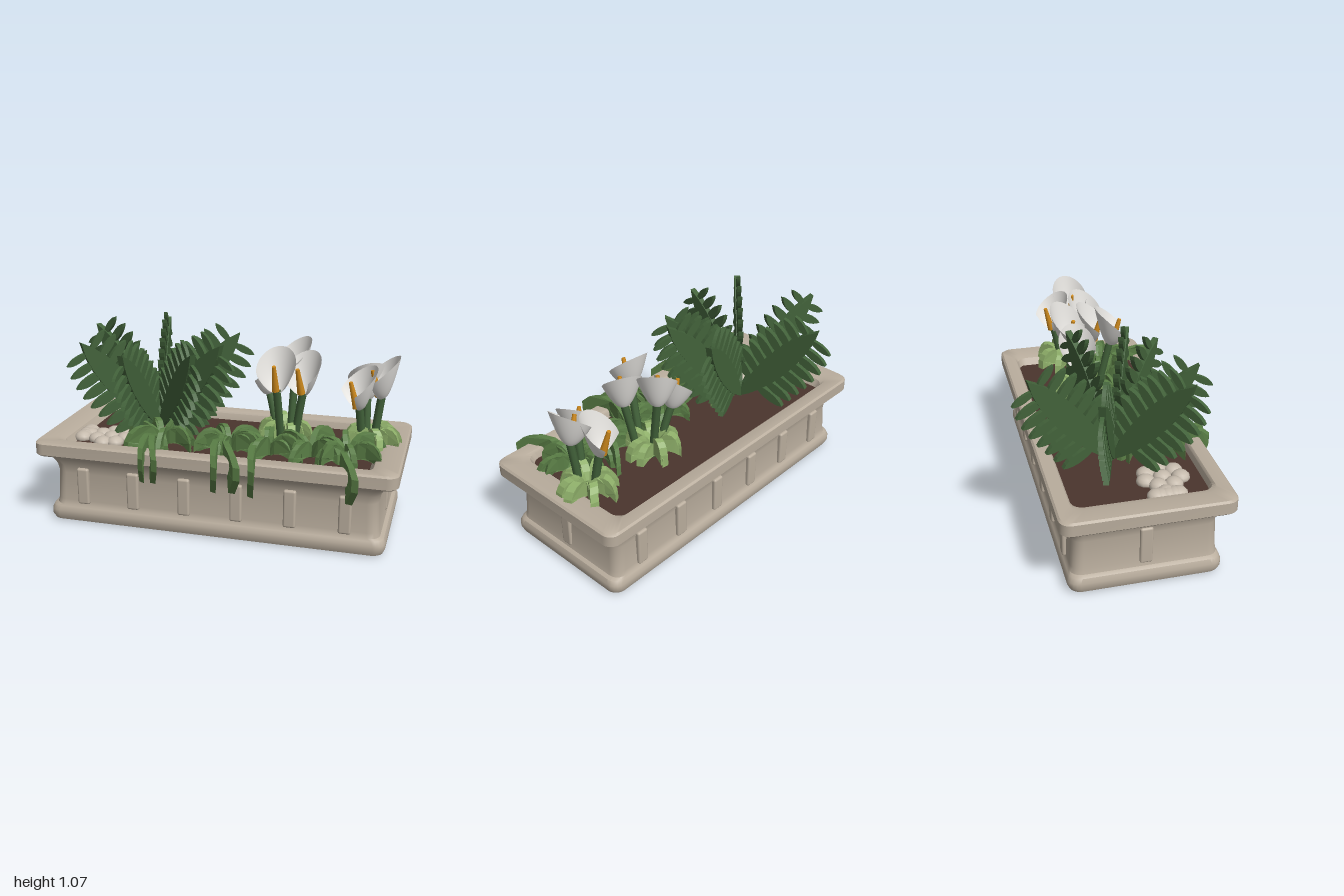
import * as THREE from 'three';
import { toCreasedNormals } from 'three/addons/utils/BufferGeometryUtils.js';
import { ParametricGeometry } from 'three/addons/geometries/ParametricGeometry.js';
import { RoundedBoxGeometry } from 'three/addons/geometries/RoundedBoxGeometry.js';

const mat = (name, color, side = THREE.FrontSide) => {
  const m = new THREE.MeshStandardMaterial({ color, side });
  m.name = name;
  return m;
};
const stone = mat('stone', 0xb9ad9d);
const soilBrown = mat('soilBrown', 0x4b352d);
const fernGreen = mat('fernGreen', 0x42623a);
const trailGreen = mat('trailGreen', 0x5a7e46);
const paleGreen = mat('paleGreen', 0x8fb06a);
const petalWhite = mat('petalWhite', 0xe4e2de, THREE.DoubleSide);
const spadixOrange = mat('spadixOrange', 0xcf8a1c);
const pebbleGrey = mat('pebbleGrey', 0xc6bbad);

const ZC = 0.037; // centre line of the trough
const SOIL = 0.43;

function add(parent, name, geo, material, x = 0, y = 0, z = 0) {
  const m = new THREE.Mesh(geo, material);
  m.name = name;
  m.position.set(x, y, z);
  parent.add(m);
  return m;
}

// Loft of rounded rectangles, rows of [halfX, halfZ, y]
function loftRects(rows, radius) {
  const pos = [], idx = [], seg = 5, n = 4 * (seg + 1);
  for (const [hx, hz, y] of rows) {
    const r = Math.min(radius, hx, hz);
    for (let c = 0; c < 4; c++) {
      const sx = c === 0 || c === 3 ? 1 : -1, sz = c < 2 ? 1 : -1;
      for (let k = 0; k <= seg; k++) {
        const a = (c + k / seg) * Math.PI / 2;
        pos.push(sx * (hx - r) + r * Math.cos(a), y, sz * (hz - r) + r * Math.sin(a));
      }
    }
  }
  for (let i = 0; i < rows.length - 1; i++) {
    for (let j = 0; j < n; j++) {
      const a = i * n + j, b = i * n + (j + 1) % n;
      idx.push(a, a + n, b, b, a + n, b + n);
    }
  }
  const g = new THREE.BufferGeometry();
  g.setAttribute('position', new THREE.Float32BufferAttribute(pos, 3));
  g.setIndex(idx);
  return toCreasedNormals(g, 0.7);
}

// Extrude a leaf outline, centred in z, optionally bent sideways
function leafGeometry(shape, depth, bend = 0) {
  const g = new THREE.ExtrudeGeometry(shape, { depth, bevelEnabled: false, curveSegments: 8 });
  const p = g.attributes.position;
  for (let i = 0; i < p.count; i++) p.setZ(i, p.getZ(i) - depth / 2 + bend * p.getX(i) ** 2);
  g.computeVertexNormals();
  return g;
}

// Straight pointed leaf along +x
function bladeShape(len, width) {
  const s = new THREE.Shape();
  s.moveTo(0, 0);
  s.bezierCurveTo(len * 0.25, width * 0.6, len * 0.75, width * 0.75, len, 0);
  s.bezierCurveTo(len * 0.75, -width * 0.75, len * 0.25, -width * 0.6, 0, 0);
  return s;
}

// Arching leaf that rises, then falls to endY at distance r
function archShape(r, h, endY) {
  const s = new THREE.Shape();
  s.moveTo(0, 0);
  s.bezierCurveTo(r * 0.15, h * 1.4, r * 1.05, h * 1.4, r, endY);
  s.bezierCurveTo(r * 0.8, endY * 0.5 + h * 0.2, r * 0.6, h * 0.55, 0, 0);
  return s;
}

// Longer arching leaf whose tip curls back under
function droopShape(r, h, endY) {
  const s = new THREE.Shape();
  s.moveTo(0, 0);
  s.bezierCurveTo(r * 0.15, h * 1.4, r * 1.3, h * 1.3, r * 0.76, endY);
  s.bezierCurveTo(r * 0.76, h * 0.3, r * 0.6, h * 0.6, 0, 0);
  return s;
}

function buildPlanter(root) {
  const g = new THREE.Group();
  g.name = 'planter';
  g.position.z = ZC;
  root.add(g);
  add(g, 'trough', loftRects([
    [0.001, 0.001, 0], [0.91, 0.37, 0], [0.935, 0.395, 0.01], [0.945, 0.405, 0.035], [0.945, 0.405, 0.065],
    [0.935, 0.395, 0.09], [0.915, 0.388, 0.1], [0.908, 0.384, 0.13], [0.9, 0.378, 0.29], [0.908, 0.385, 0.335],
    [0.93, 0.402, 0.375], [0.95, 0.42, 0.4], [0.992, 0.446, 0.4], [1, 0.453, 0.408], [1, 0.453, 0.47],
    [0.99, 0.443, 0.48], [0.9, 0.375, 0.48], [0.86, 0.365, 0.468], [0.825, 0.355, 0.41],
  ], 0.06), stone);
  add(g, 'soil', new THREE.BoxGeometry(1.66, 0.05, 0.715), soilBrown, 0, SOIL - 0.025, 0);
  // Raised panels around the walls
  const panel = new RoundedBoxGeometry(0.068, 0.212, 0.05, 3, 0.012);
  for (const s of [1, -1]) {
    for (let i = 0; i < 6; i++) add(g, 'wallPanel', panel, stone, -0.733 + i * 0.2932, 0.222, s * 0.378);
    add(g, 'endPanel', panel, stone, s * 0.893, 0.222, 0).rotation.y = Math.PI / 2;
  }
}

function buildFern(root) {
  const fern = new THREE.Group();
  fern.name = 'fern';
  fern.position.set(-0.43, 0.45, -0.02);
  root.add(fern);
  const blade = leafGeometry(bladeShape(0.73, 0.14), 0.035);
  const leaflet = leafGeometry(bladeShape(0.215, 0.055), 0.03);
  const tips = [[-0.11, -0.53], [-0.48, -0.18], [0.49, -0.15], [0.49, 0.21], [0.31, 0.32], [-0.39, 0.38], [-0.06, 0.45]];
  tips.forEach(([x, z]) => {
    const frond = new THREE.Group();
    frond.name = 'frond';
    frond.rotation.set(0, -Math.atan2(z, x), 0.88);
    frond.rotation.order = 'YXZ';
    frond.scale.setScalar(Math.hypot(x, z) > 0.48 ? 1 : 0.95);
    fern.add(frond);
    add(frond, 'frondBlade', blade, fernGreen);
    for (let i = 0; i < 8; i++) {
      for (const s of [1, -1]) {
        const l = add(frond, 'leaflet', leaflet, fernGreen, 0.15 + i * 0.072, 0, 0);
        l.rotation.z = s * 1.36;
        l.scale.setScalar(1 - 0.00013 * i ** 4);
      }
    }
  });
}

function buildLilies(root) {
  // Cupped petal, tall at the back (-x) and open at the front (+x)
  const spathe = new ParametricGeometry((u, v, out) => {
    const a = (u * 2 - 1) * 2.2, c = Math.cos(a);
    const r = 0.012 + 0.095 * Math.pow(v, 0.6);
    out.set(-r * c * (1 + 0.1 * v * c), v * (0.15 + 0.075 * c), r * Math.sin(a));
  }, 20, 10);
  const spadix = new THREE.CylinderGeometry(0.011, 0.022, 0.15, 8);
  const groups = [
    { name: 'leftLilies', at: [0.33, 0], flowers: [[0.21, 0.69, -0.07, -1, 0.1], [0.3, 0.77, 0.15, -0.1, 1], [0.43, 0.74, 0.07, -0.4, 0.8], [0.35, 0.78, -0.1, -0.6, 0.5]] },
    { name: 'rightLilies', at: [0.78, 0], flowers: [[0.76, 0.69, -0.1, -0.4, -0.9], [0.74, 0.69, 0.09, -0.8, 0.5], [0.85, 0.74, 0.02, -1, 0.2]] },
  ];
  for (const { name, at, flowers } of groups) {
    const g = new THREE.Group();
    g.name = name;
    root.add(g);
    for (const [x, y, z, dx, dz] of flowers) {
      const curve = new THREE.QuadraticBezierCurve3(
        new THREE.Vector3(at[0] + (x - at[0]) * 0.45, 0.42, at[1] + (z - at[1]) * 0.45),
        new THREE.Vector3(at[0] + (x - at[0]) * 0.7, 0.6, at[1] + (z - at[1]) * 0.7),
        new THREE.Vector3(x, y + 0.02, z));
      add(g, 'flowerStem', new THREE.TubeGeometry(curve, 8, 0.022, 8), fernGreen);
      const f = new THREE.Group();
      f.name = 'flower';
      f.position.set(x, y, z);
      f.rotation.set(0, -Math.atan2(dz, dx), -0.12);
      f.rotation.order = 'YXZ';
      g.add(f);
      add(f, 'spathe', spathe, petalWhite);
      add(f, 'spadix', spadix, spadixOrange, 0.025, 0.09, 0).rotation.z = -0.15;
    }
  }
}

// Ring of arching leaves round a centre
function buildClump(root, name, x, z, count, geos, material, from = 0, to = Math.PI * 2) {
  const g = new THREE.Group();
  g.name = name;
  g.position.set(x, SOIL - 0.01, z);
  root.add(g);
  for (let i = 0; i < count; i++) {
    const l = add(g, 'archedLeaf', geos[i % geos.length], material);
    l.rotation.y = -(from + (to - from) * i / count);
    l.scale.setScalar(0.92 + 0.1 * Math.sin(i * 2.7 + x * 9));
  }
}

function buildFoliage(root) {
  const pale = [leafGeometry(archShape(0.17, 0.14, 0.02), 0.045, 1.5), leafGeometry(archShape(0.14, 0.15, 0.03), 0.04, -1.5)];
  buildClump(root, 'leftPaleLeaves', 0.32, -0.04, 13, pale, paleGreen);
  buildClump(root, 'rightPaleLeaves', 0.79, -0.03, 15, pale, paleGreen);
  const trail = [leafGeometry(archShape(0.21, 0.14, 0), 0.03, 2), leafGeometry(archShape(0.18, 0.13, 0.01), 0.03, -2)];
  const droop = [leafGeometry(droopShape(0.41, 0.14, -0.12), 0.04, -1.4)];
  // Each plant: centre x, z, leaf count and directions of leaves hanging over the rim
  const plants = [
    [-0.34, 0.2, 13, [2.05, 1.85]], [0.05, 0.2, 10, [2.0, 1.7]], [0.27, 0.2, 9, [2.05]],
    [0.5, 0.17, 8, []], [0.7, 0.18, 12, [1.8]],
  ];
  for (const [x, z, n, drops] of plants) {
    buildClump(root, 'trailingPlant', x, z, n, trail, trailGreen);
    for (const a of drops) buildClump(root, 'trailingLeaf', x, 0.18, 1, droop, trailGreen, a, a);
  }
}

function buildPebbles(root) {
  const g = new THREE.Group();
  g.name = 'pebbles';
  root.add(g);
  const geo = new THREE.SphereGeometry(0.05, 12, 8);
  for (const [x, z, n, r] of [[-0.65, 0.19, 7, 0.08], [-0.84, 0.17, 5, 0.05]]) {
    for (let i = 0; i <= n; i++) {
      const a = i / n * Math.PI * 2, k = i === n ? 0 : r;
      const px = Math.max(x + k * Math.cos(a), -0.81);
      add(g, 'pebble', geo, pebbleGrey, px, SOIL + 0.01, z + k * 1.2 * Math.sin(a)).scale.set(1, 0.7, 1);
    }
  }
}

export function createModel() {
  const root = new THREE.Group();
  root.name = 'flowerPlanter';
  buildPlanter(root);
  buildFern(root);
  buildLilies(root);
  buildFoliage(root);
  buildPebbles(root);
  return root;
}
